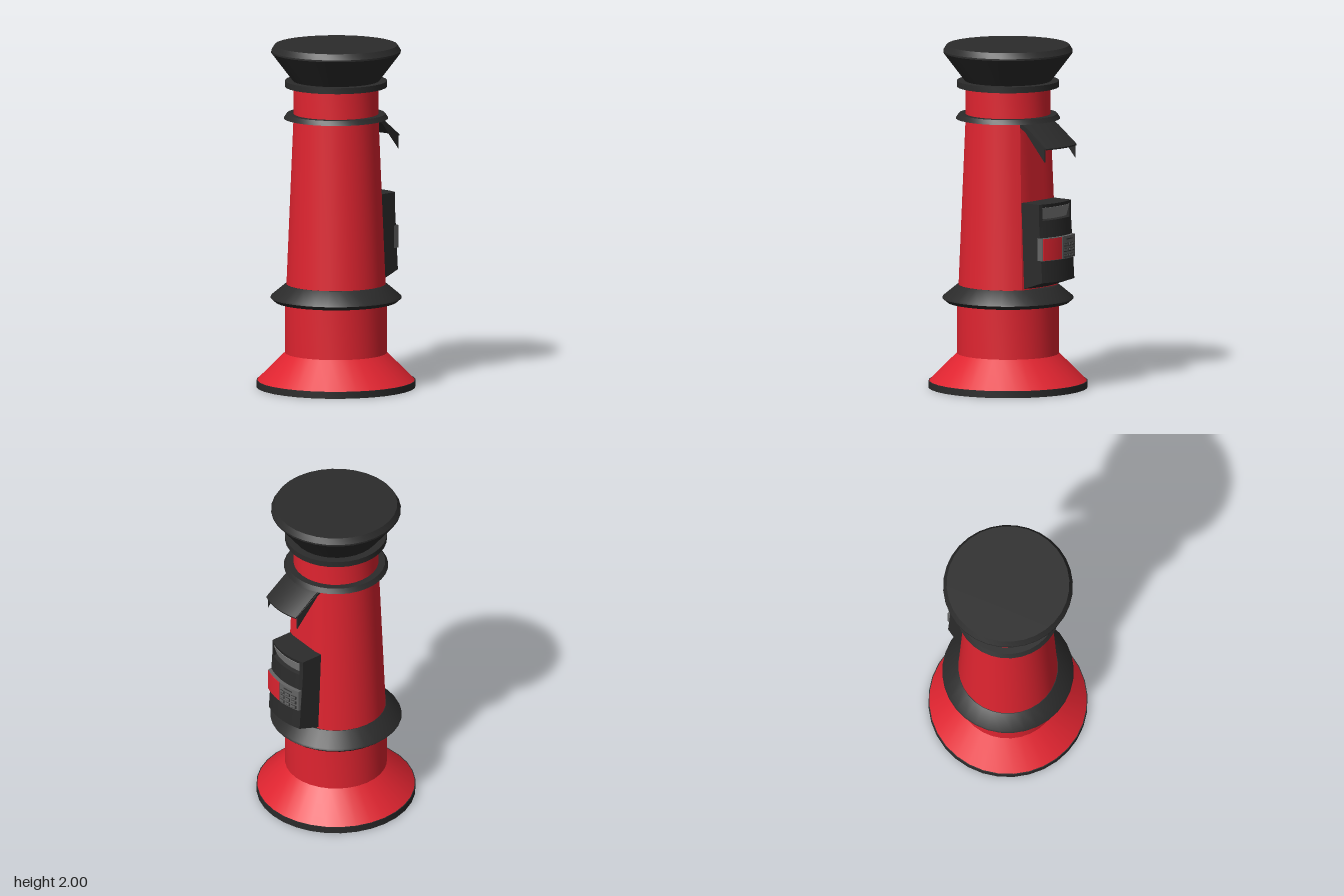
import * as THREE from 'three';
import { toCreasedNormals } from 'three/addons/utils/BufferGeometryUtils.js';

const mat = (name, color, side = THREE.FrontSide) => {
  const m = new THREE.MeshStandardMaterial({ color, side });
  m.name = name;
  return m;
};

export function createModel() {
  const group = new THREE.Group();
  const red = mat('post red', 0xe02430);
  const black = mat('trim black', 0x2b2b2b);
  const grey = mat('keypad grey', 0x646464);
  const silver = mat('slot silver', 0x858585);
  const dark = mat('key dark', 0x383838);

  const add = (name, geometry, material) => {
    const mesh = new THREE.Mesh(toCreasedNormals(geometry, 0.45), material);
    mesh.name = name;
    group.add(mesh);
    return mesh;
  };

  // Turned part from [radius, height] points, bottom to top
  const turned = (points) =>
    new THREE.LatheGeometry(points.map(([r, y]) => new THREE.Vector2(r, y)), 32);

  // Side profile in x/y swept across z, bowed around the post's axis
  const bowed = (points, z0, z1, steps = 10) => {
    const shape = new THREE.Shape(points.map(([x, y]) => new THREE.Vector2(x, y)));
    const g = new THREE.ExtrudeGeometry(shape, { depth: z1 - z0, steps, bevelEnabled: false });
    g.translate(0, 0, z0);
    const p = g.attributes.position;
    for (let i = 0; i < p.count; i++) {
      const z = p.getZ(i);
      p.setX(i, p.getX(i) - 0.4 + Math.sqrt(0.16 - z * z));
    }
    return g;
  };
  const plate = (x0, x1, y0, y1, z0, z1, steps = 6) =>
    bowed([[x0, y0], [x1, y0], [x1, y1], [x0, y1]], z0, z1, steps);

  // Base, foot and collars
  add('basePlate', turned([[0, 0], [0.46, 0], [0.46, 0.04], [0, 0.04]]), black);
  add('flaredFoot', turned([[0.455, 0.04], [0.295, 0.2], [0.295, 0.5]]), red);
  add('lowerCollar', turned([[0, 0.5], [0.355, 0.5], [0.38, 0.522], [0.375, 0.532],
    [0.29, 0.602], [0, 0.602]]), black);
  add('upperCollar', turned([[0, 1.57], [0.302, 1.57], [0.285, 1.597], [0, 1.597]]), black);
  add('neck', turned([[0.246, 1.59], [0.246, 1.76]]), red);
  add('capRing', turned([[0, 1.755], [0.295, 1.755], [0.295, 1.79], [0, 1.79]]), black);
  add('cap', turned([[0.25, 1.79], [0.375, 1.955], [0.375, 1.965], [0.355, 1.998], [0, 2]]), black);

  // Tapered shaft, flattened on the panel side
  const shaft = turned([[0.287, 0.6], [0.246, 1.575]]);
  const sp = shaft.attributes.position;
  for (let i = 0; i < sp.count; i++) {
    const flat = THREE.MathUtils.mapLinear(sp.getY(i), 0.6, 1.575, 0.25, 0.21);
    sp.setX(i, Math.min(sp.getX(i), flat));
  }
  add('shaft', shaft, red);

  // Control box: solid ends with a notched middle for the slot
  const low = [[0.22, 0.61], [0.27, 0.61], [0.405, 0.655], [0.388, 0.9], [0.38, 1.015]];
  const high = [[0.38, 1.11], [0.22, 1.11]];
  const notch = [[0.352, 1.02], [0.376, 1.088]];
  add('boxMiddle', bowed([...low, ...notch, ...high], -0.122, 0.122), black);
  for (const s of [-1, 1]) {
    const z = [0.122 * s, 0.145 * s].sort((a, b) => a - b);
    add('boxEnd', bowed([...low, ...high], z[0], z[1], 1), black);
  }
  add('slotPlate', bowed([[0.348, 1.021], [0.357, 1.021], [0.38, 1.09], [0.37, 1.09]],
    -0.12, 0.12), silver);

  // Notice panel with a grey surround
  add('noticeFrame', plate(0.37, 0.408, 0.783, 0.915, 0.002, 0.147), grey);
  add('noticePanel', plate(0.406, 0.411, 0.786, 0.912, 0.005, 0.143), red);

  // Keypad with display and three rows of keys
  add('keypadPlate', plate(0.37, 0.41, 0.783, 0.915, -0.143, 0.002), grey);
  add('display', plate(0.408, 0.413, 0.893, 0.9, -0.1, -0.035, 3), dark);
  for (let row = 0; row < 3; row++) {
    for (let col = 0; col < 3; col++) {
      const y = 0.801 + row * 0.032;
      const z = -0.112 + col * 0.043;
      add('keySurround', plate(0.408, 0.414, y - 0.01, y + 0.01, z - 0.016, z + 0.016, 1), dark);
      add('key', plate(0.41, 0.417, y - 0.004, y + 0.007, z - 0.012, z + 0.012, 1), grey);
    }
  }

  // Sloping rain hood with triangular cheeks
  add('hood', bowed([[0.2, 1.562], [0.425, 1.432], [0.426, 1.44], [0.29, 1.54], [0.23, 1.575]],
    -0.138, 0.138), black);
  for (const z of [-0.14, 0.134]) {
    add('hoodCheek', bowed([[0.23, 1.57], [0.415, 1.36], [0.415, 1.445]], z, z + 0.006, 1), black);
  }
  return group;
}
